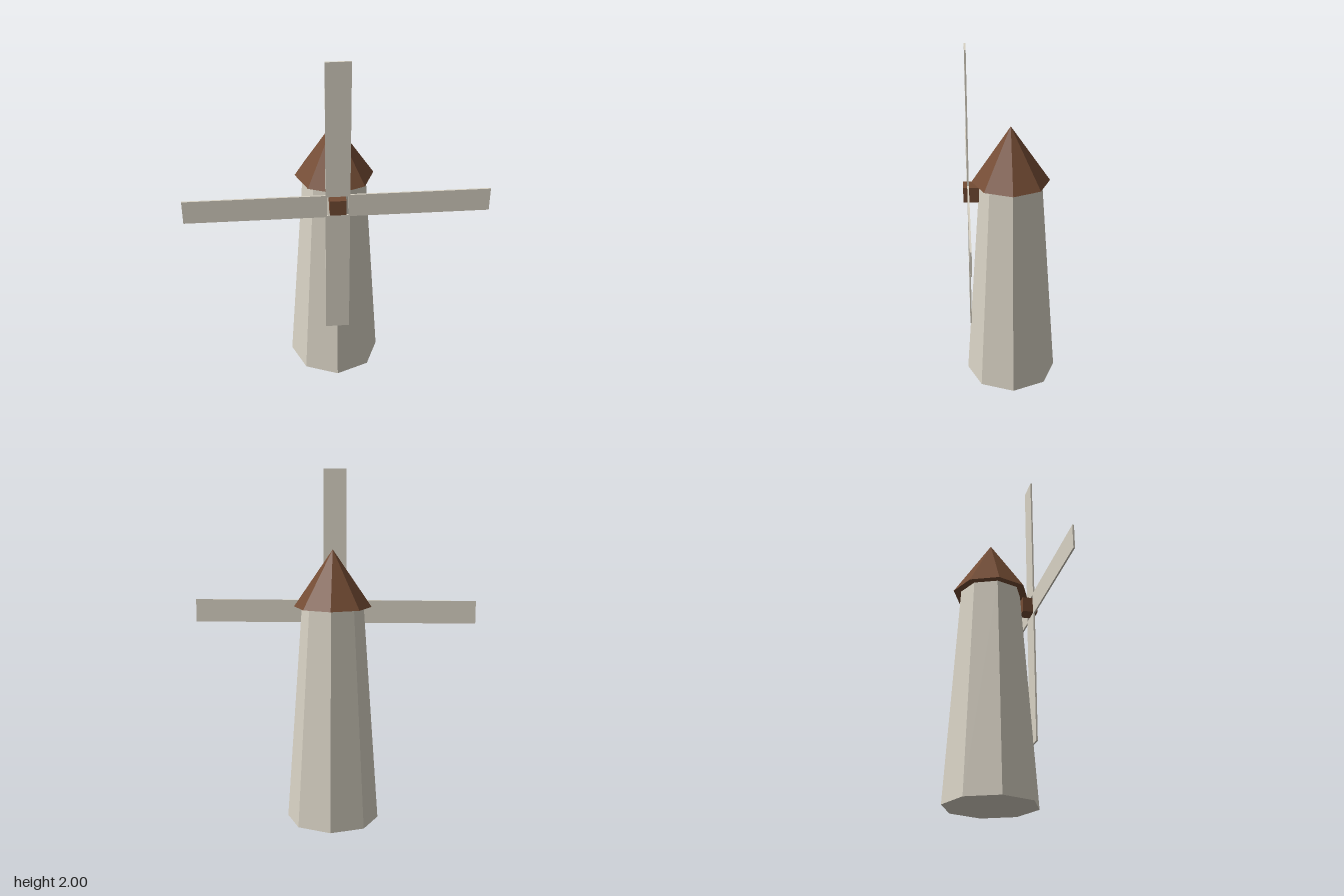
import * as THREE from 'three';

const stone = new THREE.MeshStandardMaterial({ color: 0xd8d2c4, flatShading: true });
stone.name = 'pale stone';
const wood = new THREE.MeshStandardMaterial({ color: 0x744c34, flatShading: true });
wood.name = 'brown wood';

function part(parent, name, geometry, material, x, y, z) {
  const mesh = new THREE.Mesh(geometry, material);
  mesh.name = name;
  mesh.position.set(x, y, z);
  parent.add(mesh);
  return mesh;
}

export function createModel() {
  const model = new THREE.Group();
  model.name = 'windmill';

  // Tapered eight-sided tower and pointed cap
  const towerHeight = 1.24, roofHeight = 0.32;
  part(model, 'tower', new THREE.CylinderGeometry(0.174, 0.262, towerHeight, 8), stone, 0, towerHeight / 2, 0);
  part(model, 'roof', new THREE.ConeGeometry(0.218, roofHeight, 8), wood, 0, towerHeight + roofHeight / 2, 0);

  // Rotor: square hub with four flat sails around an open middle
  const rotor = new THREE.Group();
  rotor.name = 'rotor';
  rotor.position.set(0, 1.178, 0.222);
  model.add(rotor);
  part(rotor, 'hub', new THREE.BoxGeometry(0.088, 0.088, 0.086), wood, 0, 0, 0);

  const inner = 0.058, outer = 0.822;
  const sailGeometry = new THREE.BoxGeometry(0.133, outer - inner, 0.009);
  sailGeometry.translate(0, (inner + outer) / 2, 0);
  for (let i = 0; i < 4; i++) {
    const sail = part(rotor, 'sail' + (i + 1), sailGeometry, stone, 0, 0, 0.016);
    sail.rotation.z = (i * Math.PI) / 2;
  }

  return model;
}
